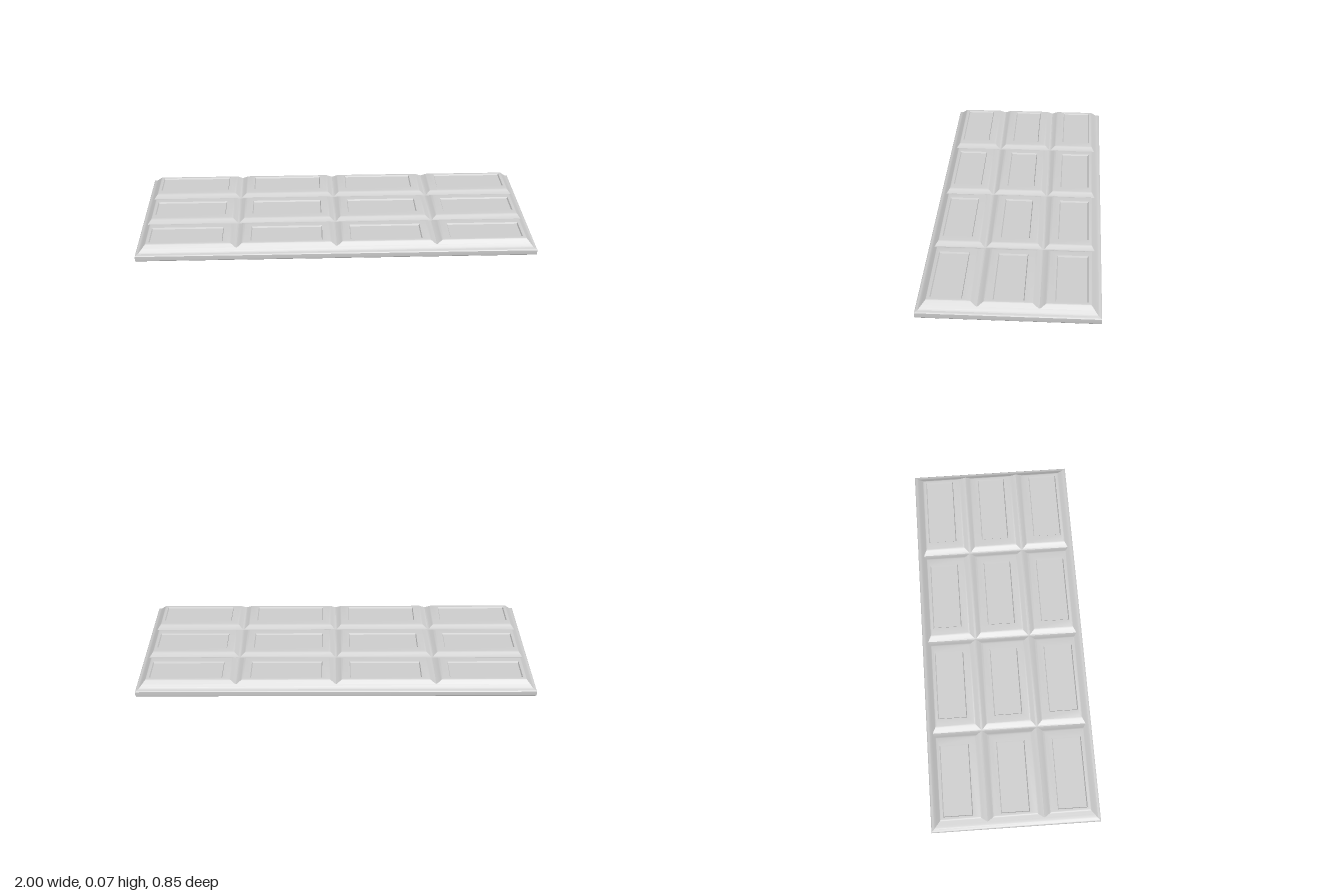
import * as THREE from 'three';
import { toCreasedNormals } from 'three/addons/utils/BufferGeometryUtils.js';

const WIDTH = 2, DEPTH = 0.85, COLUMNS = 4, ROWS = 3;
const GROOVE_Z = 0.142; // distance of the long grooves from the centre line

// Skin over a stack of rectangles, each { x0, x1, z0, z1, y }, lowest first
function stackRectangles(rects, closeBottom, closeTop) {
  const positions = [], index = [];
  for (const { x0, x1, z0, z1, y } of rects) {
    positions.push(x0, y, z1, x1, y, z1, x1, y, z0, x0, y, z0);
  }
  for (let i = 0; i < rects.length - 1; i++) {
    for (let k = 0; k < 4; k++) {
      const a = i * 4 + k, b = i * 4 + (k + 1) % 4;
      index.push(a, b, b + 4, a, b + 4, a + 4);
    }
  }
  const t = (rects.length - 1) * 4;
  if (closeBottom) index.push(0, 2, 1, 0, 3, 2);
  if (closeTop) index.push(t, t + 1, t + 2, t, t + 2, t + 3);
  const geometry = new THREE.BufferGeometry();
  geometry.setAttribute('position', new THREE.Float32BufferAttribute(positions, 3));
  geometry.setIndex(index);
  return toCreasedNormals(geometry, THREE.MathUtils.degToRad(32));
}

export function createModel() {
  const group = new THREE.Group();
  const material = new THREE.MeshStandardMaterial({ color: 0xcccccc });
  const add = (name, geometry) => {
    const mesh = new THREE.Mesh(geometry, material);
    mesh.name = name;
    group.add(mesh);
  };

  // Base slab with a softened lower edge and sloping shoulder: [inset, y]
  const slabProfile = [
    [0.005, 0], [0.001, 0.004], [0, 0.01], [0, 0.028], [0.003, 0.032],
    [0.013, 0.036], [0.02, 0.041], [0.032, 0.054],
  ];
  add('baseSlab', stackRectangles(slabProfile.map(([d, y]) => ({
    x0: -WIDTH / 2 + d, x1: WIDTH / 2 - d, z0: -DEPTH / 2 + d, z1: DEPTH / 2 - d, y,
  })), true, false));

  // Squares: [inset from the bar's rim, inset from a groove centre, y]
  const squareProfile = [
    [0.032, 0, 0.054], [0.034, 0.006, 0.056], [0.045, 0.024, 0.068],
    [0.049, 0.031, 0.072], [0.054, 0.038, 0.0735],
    [0.064, 0.07, 0.0735], [0.068, 0.074, 0.066], // sunken panel
  ];
  const xs = Array.from({ length: COLUMNS + 1 }, (_, i) => -WIDTH / 2 + i * WIDTH / COLUMNS);
  const zs = [-DEPTH / 2, -GROOVE_Z, GROOVE_Z, DEPTH / 2];
  for (let c = 0; c < COLUMNS; c++) {
    for (let r = 0; r < ROWS; r++) {
      const rects = squareProfile.map(([rim, groove, y]) => ({
        x0: xs[c] + (c === 0 ? rim : groove),
        x1: xs[c + 1] - (c === COLUMNS - 1 ? rim : groove),
        z0: zs[r] + (r === 0 ? rim : groove),
        z1: zs[r + 1] - (r === ROWS - 1 ? rim : groove),
        y,
      }));
      add(`square_${r + 1}_${c + 1}`, stackRectangles(rects, false, true));
    }
  }
  return group;
}
